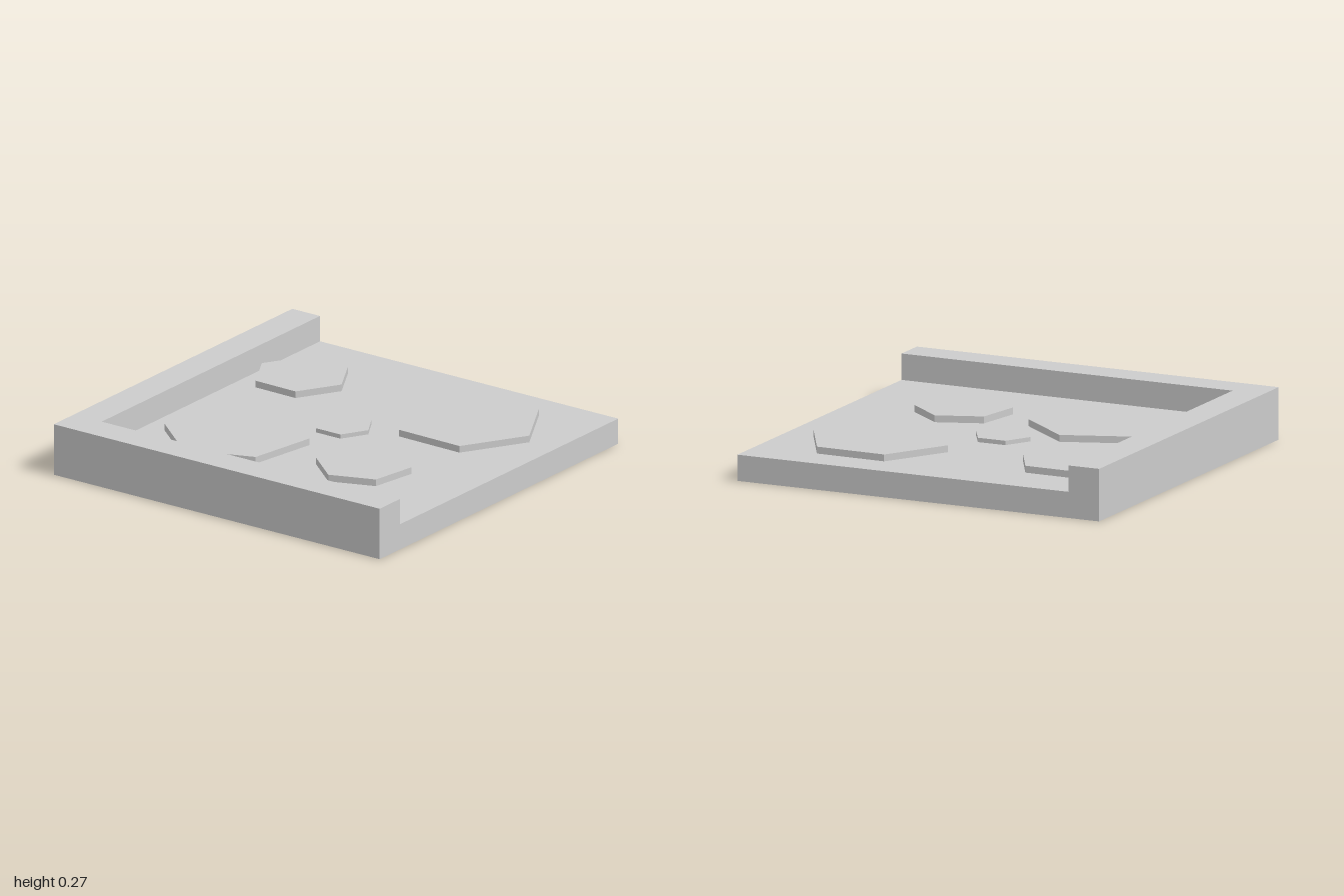
import * as THREE from 'three';

const FLOOR = 0.133, TOP = 0.267, RIM = 0.83;

export function createModel() {
  const model = new THREE.Group();
  const material = new THREE.MeshStandardMaterial({ color: 0xcccccc, flatShading: true });

  const add = (name, geometry, x, y, z) => {
    const mesh = new THREE.Mesh(geometry, material);
    mesh.name = name;
    mesh.position.set(x, y, z);
    model.add(mesh);
  };

  // Square floor slab
  add('floorSlab', new THREE.BoxGeometry(2, FLOOR, 2), 0, FLOOR / 2, 0);

  // L-shaped wall along the right and front edges (shape y becomes -z)
  const outline = [[-1, -1], [1, -1], [1, -RIM], [-RIM, -RIM], [-RIM, 1], [-1, 1]];
  const wallShape = new THREE.Shape(outline.map(([x, y]) => new THREE.Vector2(x, y)));
  const wall = new THREE.ExtrudeGeometry(wallShape, { depth: TOP - FLOOR, bevelEnabled: false });
  wall.rotateX(-Math.PI / 2);
  add('cornerWall', wall, 0, FLOOR, 0);

  // Raised hexagonal tiles: x, z, radius, corner angle in degrees, top height
  const tiles = [
    [-0.58, -0.505, 0.248, 1, 0.168],
    [0.465, -0.48, 0.375, 1, 0.168],
    [-0.02, -0.092, 0.151, 0, 0.155],
    [-0.365, 0.33, 0.373, -20.4, 0.168],
    [0.4, 0.314, 0.245, -20.4, 0.168],
  ];
  const sink = 0.01;
  tiles.forEach(([x, z, radius, degrees, top], i) => {
    const height = top - FLOOR + sink;
    const start = Math.PI / 2 - THREE.MathUtils.degToRad(degrees);
    const hexagon = new THREE.CylinderGeometry(radius, radius, height, 6, 1, false, start);
    add(`hexTile${i + 1}`, hexagon, x, top - height / 2, z);
  });

  return model;
}
